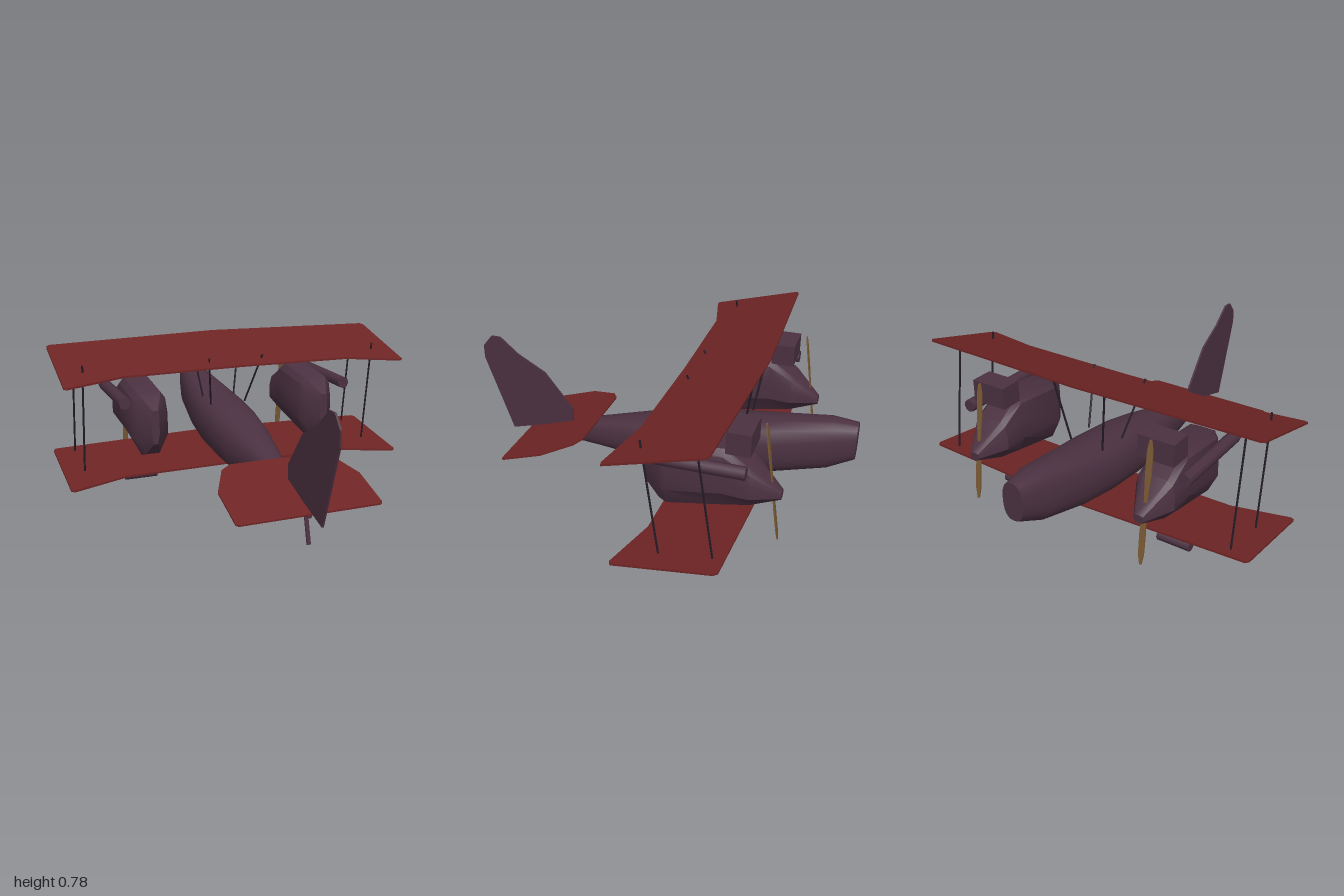
import * as THREE from 'three';
import { toCreasedNormals } from 'three/addons/utils/BufferGeometryUtils.js';

const material = (name, color) => {
  const m = new THREE.MeshStandardMaterial({ color });
  m.name = name;
  return m;
};

export function createModel() {
  const model = new THREE.Group();
  const red = material('wingRed', 0x6e2424);
  const plum = material('bodyPlum', 0x4b3141);
  const dark = material('strutDark', 0x231b26);
  const wood = material('propellerWood', 0x7a5a34);

  const add = (name, geometry, mat, parent = model) => {
    const mesh = new THREE.Mesh(geometry, mat);
    mesh.name = name;
    parent.add(mesh);
    return mesh;
  };

  // Closed skin over rings of [x, y, z]; rings run from +z to -z, each counter-clockwise
  const loft = (rings, crease) => {
    const n = rings[0].length;
    const pos = rings.flat(2);
    const index = [];
    for (let i = 0; i < rings.length - 1; i++) {
      for (let k = 0; k < n; k++) {
        const a = i * n + k, b = i * n + (k + 1) % n;
        index.push(a, a + n, b, b, a + n, b + n);
      }
    }
    const last = (rings.length - 1) * n;
    for (let k = 1; k < n - 1; k++) {
      index.push(0, k, k + 1, last, last + k + 1, last + k);
    }
    const g = new THREE.BufferGeometry();
    g.setAttribute('position', new THREE.Float32BufferAttribute(pos, 3));
    g.setIndex(index);
    return toCreasedNormals(g, crease);
  };

  // Thin sheet from a half outline of [x, z], mirrored, tilted so y = base + slope * z
  const sheet = (half, base, slope, thick) => {
    const pts = [...half, ...half.map(([x, z]) => [-x, z]).reverse()];
    const shape = new THREE.Shape(pts.map(([x, z]) => new THREE.Vector2(x, -z)));
    const g = new THREE.ExtrudeGeometry(shape, { depth: thick, bevelEnabled: false });
    g.rotateX(-Math.PI / 2);
    const p = g.attributes.position;
    for (let i = 0; i < p.count; i++) p.setY(i, p.getY(i) + base + slope * p.getZ(i));
    g.computeVertexNormals();
    return g;
  };

  // Round rod between two points
  const rod = (name, from, to, radius, mat, parent = model) => {
    const a = new THREE.Vector3(...from), b = new THREE.Vector3(...to);
    const d = b.clone().sub(a);
    const mesh = add(name, new THREE.CylinderGeometry(radius, radius, d.length(), 8), mat, parent);
    mesh.position.copy(a).add(b).multiplyScalar(0.5);
    mesh.quaternion.setFromUnitVectors(new THREE.Vector3(0, 1, 0), d.normalize());
    return mesh;
  };

  // Fuselage: z, bottom, top, half width
  const body = [
    [0.73, 0.142, 0.175, 0.012], [0.43, 0.147, 0.275, 0.042], [0.34, 0.147, 0.305, 0.065],
    [0, 0.13, 0.39, 0.125], [-0.18, 0.142, 0.428, 0.14], [-0.4, 0.163, 0.455, 0.145],
    [-0.6, 0.188, 0.482, 0.128], [-0.87, 0.255, 0.522, 0.092], [-1, 0.32, 0.515, 0.056],
  ];
  const squash = (v) => Math.sign(v) * Math.abs(v) ** 0.8;
  add('fuselage', loft(body.map(([z, lo, hi, w]) =>
    Array.from({ length: 24 }, (_, k) => {
      const t = (k / 24) * Math.PI * 2;
      return [w * squash(Math.cos(t)), (lo + hi) / 2 + (hi - lo) / 2 * squash(Math.sin(t)), z];
    })), 0.7), plum);

  // Wings and tailplane
  add('upperWing', sheet([
    [0, -0.555], [0.915, -0.512], [0.93, -0.495], [0.93, -0.05], [0.91, -0.045], [0.62, -0.115], [0, -0.125],
  ], 0.63, -0.27, 0.01), red);
  add('lowerWing', sheet([
    [0, -0.61], [0.08, -0.605], [0.905, -0.56], [0.918, -0.54], [0.918, -0.07], [0.9, -0.06], [0.62, -0.145], [0, -0.155],
  ], 0.11, -0.14, 0.01), red);
  add('tailplane', sheet([
    [0.235, 0.34], [0.29, 0.375], [0.363, 0.525], [0.363, 0.745], [0.35, 0.755],
  ], 0.407, -0.318, 0.008), red);

  // Fin and rudder in the z-y plane
  const fin = new THREE.Shape([
    [0.86, 0.15], [1, 0.56], [1, 0.63], [0.95, 0.69], [0.9, 0.69],
    [0.8, 0.605], [0.65, 0.52], [0.5, 0.33], [0.5, 0.25],
  ].map(([z, y]) => new THREE.Vector2(-z, y)));
  const finGeometry = new THREE.ExtrudeGeometry(fin, { depth: 0.01, bevelEnabled: false });
  finGeometry.translate(0, 0, -0.005).rotateY(Math.PI / 2);
  add('tailFin', finGeometry, plum);
  rod('tailSkid', [0, 0.15, 0.69], [0, 0.015, 0.725], 0.011, plum);

  // Nacelle: z, bottom, top, half width
  const pod = [
    [-0.085, 0.31, 0.485, 0.02], [-0.16, 0.24, 0.535, 0.075], [-0.2, 0.225, 0.555, 0.097],
    [-0.475, 0.275, 0.582, 0.1], [-0.6, 0.3, 0.5, 0.1], [-0.735, 0.335, 0.375, 0.025],
  ];
  const podProfile = [
    [1, 0.3], [1, 0.65], [0.88, 0.9], [0.62, 1], [-0.62, 1], [-0.88, 0.9],
    [-1, 0.65], [-1, 0.3], [-0.5, 0], [0.5, 0],
  ];
  const podGeometry = loft(pod.map(([z, lo, hi, w]) =>
    podProfile.map(([px, py]) => [px * w, lo + py * (hi - lo), z])), 0.5);

  // Propeller blades, widest at mid radius
  const blade = new THREE.Shape([
    [-0.008, 0], [-0.017, 0.14], [-0.015, 0.25], [-0.004, 0.305],
    [0.006, 0.3], [0.014, 0.25], [0.014, 0.14], [0.008, 0],
  ].map(([x, y]) => new THREE.Vector2(x, y)));
  const bladeGeometry = new THREE.ExtrudeGeometry(blade, { depth: 0.006, bevelEnabled: false });
  bladeGeometry.translate(0, 0, -0.003);

  for (const s of [1, -1]) {
    const engine = new THREE.Group();
    engine.name = s > 0 ? 'leftEngine' : 'rightEngine';
    engine.position.x = s * 0.473;
    model.add(engine);
    add('nacelle', podGeometry, plum, engine);
    add('radiator', new THREE.BoxGeometry(0.185, 0.11, 0.115), plum, engine).position.set(0, 0.63, -0.543);
    rod('sidePipe', [s * 0.142, 0.525, -0.135], [s * 0.142, 0.525, -0.595], 0.032, plum, engine);

    // Propeller, leaning with the thrust line
    const propeller = new THREE.Group();
    propeller.name = 'propeller';
    propeller.position.set(s * 0.006, 0.41, -0.688);
    propeller.rotation.x = 0.14;
    engine.add(propeller);
    add('upperBlade', bladeGeometry, wood, propeller);
    add('lowerBlade', bladeGeometry, wood, propeller).rotation.z = Math.PI;

    // Wheel roller and its V struts
    rod('wheel', [-0.088, 0.047, -0.42], [0.088, 0.047, -0.42], 0.028, plum, engine);
    for (const x of [-0.055, 0.055]) {
      rod('gearStrut', [x, 0.05, -0.42], [x, 0.155, -0.295], 0.004, dark, engine);
      rod('gearStrut', [x, 0.05, -0.42], [x, 0.18, -0.51], 0.004, dark, engine);
    }

    // Wing struts and centre struts
    rod('rearWingStrut', [s * 0.81, 0.725, -0.18], [s * 0.81, 0.15, -0.26], 0.005, dark);
    rod('frontWingStrut', [s * 0.81, 0.745, -0.425], [s * 0.81, 0.18, -0.51], 0.005, dark);
    rod('rearCentreStrut', [s * 0.15, 0.71, -0.18], [s * 0.098, 0.43, -0.31], 0.005, dark);
    rod('frontCentreStrut', [s * 0.145, 0.768, -0.51], [s * 0.09, 0.43, -0.46], 0.005, dark);
  }
  return model;
}
